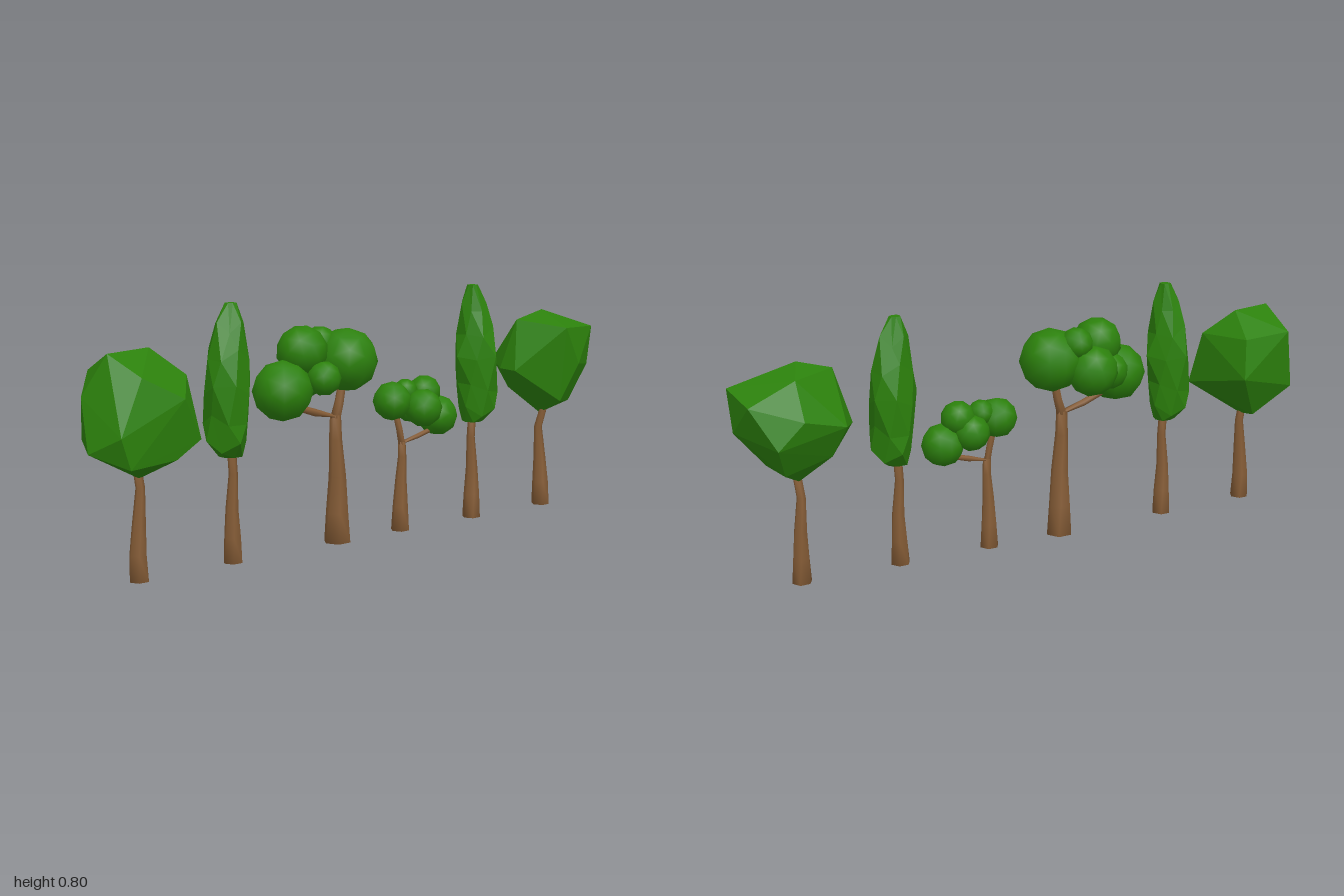
import * as THREE from 'three';
import { mergeVertices } from 'three/addons/utils/BufferGeometryUtils.js';
import { ConvexGeometry } from 'three/addons/geometries/ConvexGeometry.js';

const foliage = new THREE.MeshStandardMaterial({ color: 0x2c810c });
foliage.name = 'leafGreen';
const bark = new THREE.MeshStandardMaterial({ color: 0x855c36 });
bark.name = 'barkBrown';

// Skin between closed rings of points, closed at both ends
function loft(rings, flat) {
  const n = rings[0].length;
  const last = (rings.length - 1) * n;
  const pos = [], idx = [];
  rings.forEach(r => r.forEach(p => pos.push(p.x, p.y, p.z)));
  for (let i = 0; i < last; i += n) {
    for (let j = 0; j < n; j++) {
      const a = i + j, b = i + (j + 1) % n;
      idx.push(a, b, a + n, b, b + n, a + n);
    }
  }
  for (let j = 1; j < n - 1; j++) {
    idx.push(0, j + 1, j, last, last + j, last + j + 1);
  }
  let g = new THREE.BufferGeometry();
  g.setAttribute('position', new THREE.Float32BufferAttribute(pos, 3));
  g.setIndex(idx);
  if (flat) g = g.toNonIndexed();
  g.computeVertexNormals();
  return g;
}

// Tapering limb along [x, y, z, radius] stations
function limb(path, sides = 6) {
  const pts = path.map(p => new THREE.Vector3(p[0], p[1], p[2]));
  const up = new THREE.Vector3(0, 1, 0);
  return loft(pts.map((c, i) => {
    const dir = pts[Math.min(i + 1, pts.length - 1)].clone().sub(pts[Math.max(i - 1, 0)]).normalize();
    const q = new THREE.Quaternion().setFromUnitVectors(up, i ? dir : up);
    return Array.from({ length: sides }, (_, j) => {
      const a = (j / sides) * Math.PI * 2 + i * 0.15;
      const r = path[i][3];
      return new THREE.Vector3(Math.cos(a) * r, 0, -Math.sin(a) * r).applyQuaternion(q).add(c);
    });
  }));
}

// Smooth low-poly leaf ball
function ball(r) {
  const g = new THREE.IcosahedronGeometry(r, 1);
  g.deleteAttribute('normal');
  g.deleteAttribute('uv');
  const m = mergeVertices(g, 1e-4);
  m.computeVertexNormals();
  return m;
}

// Faceted spindle: [y, centre x, radius] per ring
function spindle() {
  const rings = [
    [0.335, 0.01, 0.034], [0.375, -0.005, 0.064], [0.45, 0, 0.071], [0.55, 0, 0.077],
    [0.645, 0, 0.064], [0.735, 0.01, 0.044], [0.803, 0.018, 0.017],
  ];
  return loft(rings.map(([y, cx, r], i) => Array.from({ length: 7 }, (_, j) => {
    const a = (j / 7) * Math.PI * 2 + i * 0.3;
    const k = r * (1 + 0.1 * Math.sin(j * 2.4 + i * 1.9));
    const dy = i % 6 ? 0.02 * Math.sin(j * 4.1 + i) : 0;
    return new THREE.Vector3(cx + Math.cos(a) * k, y + dy, -Math.sin(a) * k);
  })), true);
}

export function createModel() {
  const root = new THREE.Group();
  const tree = name => {
    const g = new THREE.Group();
    g.name = name;
    root.add(g);
    return g;
  };
  const add = (parent, name, geo, mat) => {
    const m = new THREE.Mesh(geo, mat);
    m.name = name;
    parent.add(m);
    return m;
  };

  // Broad trees with one large faceted crown
  const broad = [
    ['rightBroadTree',
      [[-0.828, 0, 0, 0.032], [-0.83, 0.08, 0, 0.027], [-0.827, 0.17, 0.004, 0.021], [-0.817, 0.28, 0, 0.014], [-0.825, 0.37, -0.01, 0.013]],
      [[-0.92, 0.685, 0.01], [-0.76, 0.687, -0.03], [-0.9, 0.62, -0.145], [-0.73, 0.61, -0.14], [-0.67, 0.605, 0.03],
        [-0.98, 0.56, -0.04], [-1, 0.405, 0.03], [-0.66, 0.42, 0.09], [-0.71, 0.48, -0.168], [-0.95, 0.46, 0.135],
        [-0.73, 0.55, 0.12], [-0.82, 0.308, 0], [-0.94, 0.42, -0.12], [-0.81, 0.325, -0.085], [-0.75, 0.37, 0.1],
        [-0.92, 0.365, 0.132], [-0.86, 0.62, 0.1]]],
    ['leftBroadTree',
      [[0.812, 0, 0.01, 0.032], [0.812, 0.08, 0.008, 0.028], [0.812, 0.17, 0.002, 0.021], [0.807, 0.28, -0.003, 0.014], [0.812, 0.37, 0.024, 0.013]],
      [[0.69, 0.67, 0], [0.8, 0.7, 0.01], [0.77, 0.65, 0.165], [1, 0.632, 0.06], [0.98, 0.6, -0.07], [0.84, 0.67, -0.09],
        [0.638, 0.5, 0.05], [0.643, 0.5, -0.03], [0.84, 0.52, 0.157], [0.99, 0.495, 0.05], [0.92, 0.48, -0.145],
        [0.84, 0.56, -0.155], [0.7, 0.52, -0.13], [0.81, 0.33, 0], [0.89, 0.375, 0.06], [0.78, 0.39, 0.13],
        [0.88, 0.38, -0.08], [0.73, 0.42, -0.08]]],
  ];
  for (const [name, path, pts] of broad) {
    const g = tree(name);
    add(g, 'trunk', limb(path), bark);
    add(g, 'crown', new ConvexGeometry(pts.map(p => new THREE.Vector3(...p))), foliage);
  }

  // Tall slender trees, the second turned half way round
  [['rightTallTree', -0.51, 0], ['leftTallTree', 0.5, Math.PI]].forEach(([name, x, turn]) => {
    const g = tree(name);
    add(g, 'trunk', limb([[0.016, 0, -0.005, 0.032], [0.015, 0.08, -0.004, 0.027], [0.01, 0.17, 0.002, 0.02],
      [0.018, 0.28, 0, 0.014], [0.012, 0.37, 0, 0.014]]), bark);
    add(g, 'crown', spindle(), foliage);
    g.position.x = x;
    g.rotation.y = turn;
  });

  // Branching trees with clustered leaf balls [x, y, z, radius]
  const clustered = [
    ['largeBranchingTree',
      [
        [[-0.088, 0, -0.008, 0.046], [-0.09, 0.1, -0.006, 0.037], [-0.093, 0.22, 0, 0.028], [-0.1, 0.34, 0, 0.021], [-0.1, 0.42, 0, 0.018]],
        [[-0.1, 0.41, 0, 0.018], [-0.085, 0.46, 0, 0.015], [-0.065, 0.56, 0, 0.012]],
        [[-0.095, 0.412, 0, 0.014], [-0.18, 0.435, 0, 0.012], [-0.3, 0.475, 0.01, 0.01]],
      ],
      [[-0.315, 0.52, 0.015, 0.096], [-0.23, 0.635, 0, 0.082], [-0.062, 0.595, 0.005, 0.104], [-0.2, 0.555, 0.073, 0.055],
        [-0.178, 0.56, -0.06, 0.085], [-0.13, 0.65, -0.042, 0.054], [-0.255, 0.545, -0.04, 0.062]]],
    ['smallBranchingTree',
      [
        [[0.171, 0, -0.002, 0.032], [0.17, 0.08, 0, 0.026], [0.172, 0.17, 0, 0.019], [0.177, 0.25, 0, 0.014], [0.175, 0.3, 0, 0.013]],
        [[0.175, 0.29, 0, 0.012], [0.165, 0.34, 0, 0.011], [0.15, 0.42, -0.01, 0.009]],
        [[0.175, 0.295, 0, 0.01], [0.24, 0.31, 0, 0.009], [0.33, 0.335, 0, 0.008]],
      ],
      [[0.146, 0.437, -0.015, 0.065], [0.283, 0.455, -0.015, 0.056], [0.333, 0.372, -0.005, 0.069], [0.236, 0.412, 0.036, 0.064],
        [0.25, 0.41, -0.043, 0.059], [0.205, 0.463, -0.02, 0.042]]],
  ];
  for (const [name, limbs, balls] of clustered) {
    const g = tree(name);
    limbs.forEach((p, i) => add(g, i ? 'branch' : 'trunk', limb(p), bark));
    balls.forEach(([x, y, z, r], i) => {
      const b = add(g, 'leafBall', ball(r), foliage);
      b.position.set(x, y, z);
      b.rotation.set(i * 0.7, i * 1.3, 0);
    });
  }
  return root;
}
